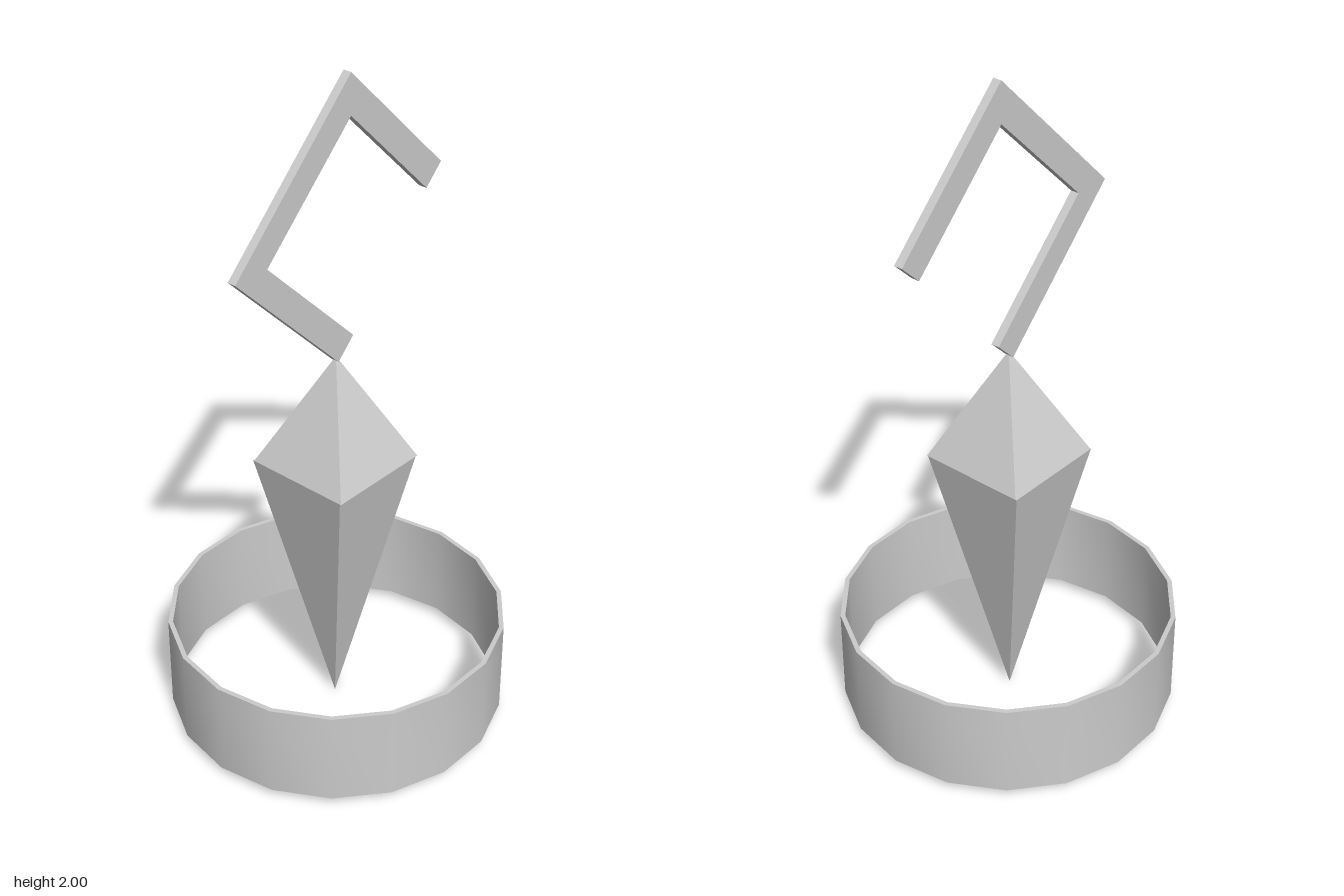
import * as THREE from 'three';
import { toCreasedNormals } from 'three/addons/utils/BufferGeometryUtils.js';

const smooth = new THREE.MeshStandardMaterial({ color: 0xcccccc });
const flat = new THREE.MeshStandardMaterial({ color: 0xcccccc, flatShading: true });

// Four-sided spike with its square base at y = baseY and its point at y = tipY
function pyramid(name, half, baseY, tipY, z) {
  const up = tipY > baseY;
  const r = half * Math.SQRT2;
  const height = Math.abs(tipY - baseY);
  const geo = new THREE.CylinderGeometry(up ? 0 : r, up ? r : 0, height, 4, 1, false, Math.PI / 4);
  const mesh = new THREE.Mesh(geo, flat);
  mesh.name = name;
  mesh.position.set(0, (baseY + tipY) / 2, z);
  return mesh;
}

export function createModel() {
  const model = new THREE.Group();
  model.name = 'hookedPendant';

  // Thin 18-sided band with a vertex on the x axis
  const [outer, inner, bottom, top] = [0.5, 0.486, 0.03, 0.325];
  const profile = [[outer, bottom], [outer, top], [inner, top], [inner, bottom], [outer, bottom]]
    .map(([x, y]) => new THREE.Vector2(x, y));
  const band = new THREE.LatheGeometry(profile, 18, Math.PI / 2);
  const ring = new THREE.Mesh(toCreasedNormals(band, Math.PI / 6), smooth);
  ring.name = 'ring';
  model.add(ring);

  // Two pyramids base to base form the body
  model.add(pyramid('lowerSpike', 0.163, 0.855, 0, -0.006));
  model.add(pyramid('upperSpike', 0.163, 0.855, 1.19, -0.002));

  // Flat angular hook
  const outline = [[0, 1.175], [0.06, 1.235], [-0.272, 1.568], [0.047, 1.882],
    [0.362, 1.568], [0.422, 1.628], [0.047, 2], [-0.388, 1.568]];
  const shape = new THREE.Shape(outline.map(([x, y]) => new THREE.Vector2(x, y)));
  const hookGeo = new THREE.ExtrudeGeometry(shape, { depth: 0.026, bevelEnabled: false });
  const hook = new THREE.Mesh(hookGeo, flat);
  hook.name = 'hook';
  hook.position.z = -0.018;
  model.add(hook);

  return model;
}
